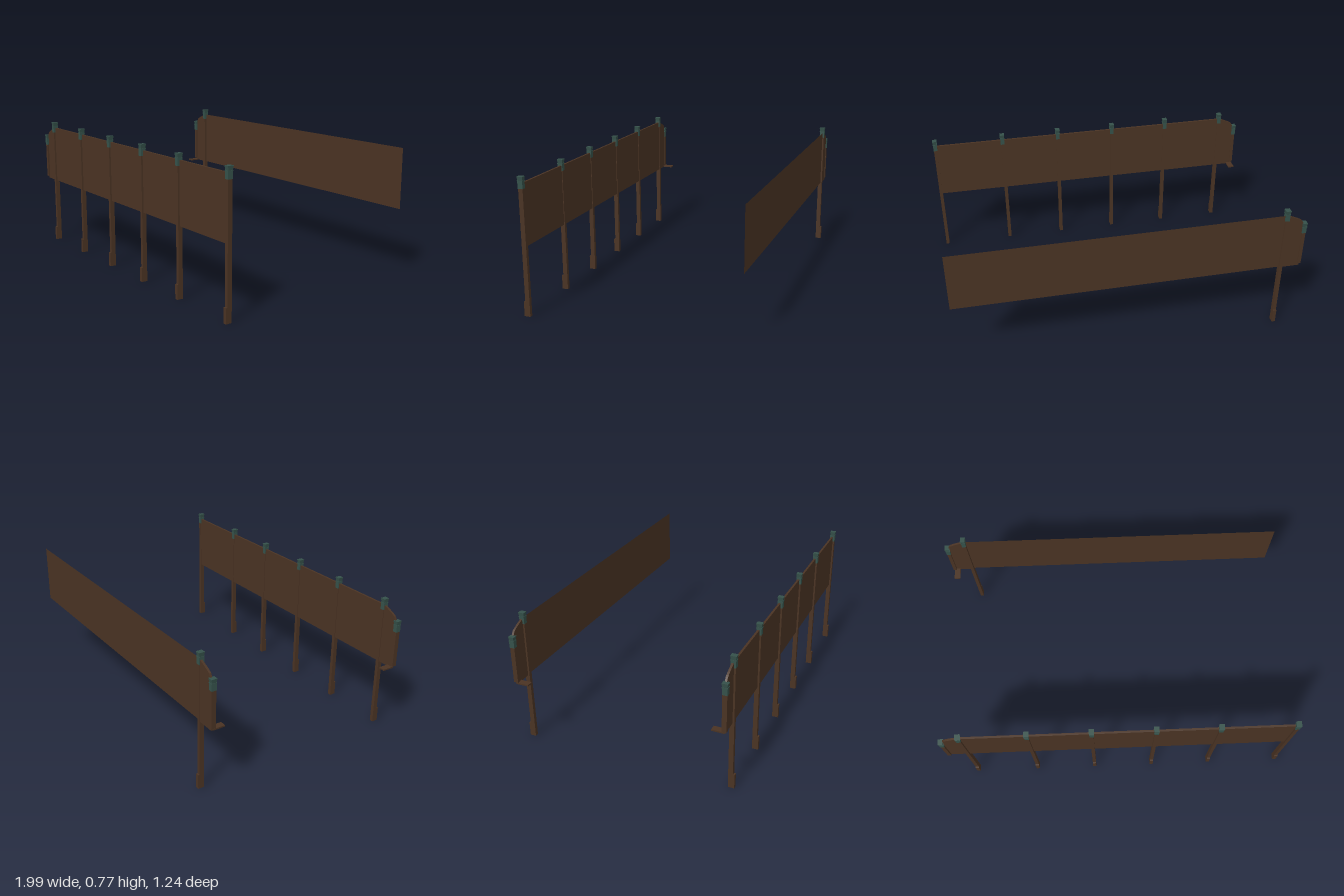
import * as THREE from 'three';

const wood = new THREE.MeshStandardMaterial({ color: 0x4a3323 });
wood.name = 'dark wood';
const sheet = new THREE.MeshStandardMaterial({ color: 0x4a3323, side: THREE.DoubleSide });
sheet.name = 'thin wood sheet';
const verdigris = new THREE.MeshStandardMaterial({ color: 0x35514a });
verdigris.name = 'green metal';

const BOTTOM = 0.395, TOP = 0.74, THICK = 0.012, Z = 0.597;

function add(parent, name, geometry, material, x = 0, y = 0, z = 0) {
  const mesh = new THREE.Mesh(geometry, material);
  mesh.name = name;
  mesh.position.set(x, y, z);
  parent.add(mesh);
  return mesh;
}

function box(parent, name, w, y0, y1, d, material, x = 0, z = 0) {
  return add(parent, name, new THREE.BoxGeometry(w, y1 - y0, d), material, x, (y0 + y1) / 2, z);
}

// Square cap: straight sleeve, thin collar and flared top
function addCap(post, y0, y1) {
  const h = y1 - y0;
  box(post, 'capSleeve', 0.024, y0, y1 - h * 0.38, 0.029, verdigris);
  box(post, 'capCollar', 0.027, y1 - h * 0.42, y1 - h * 0.34, 0.031, verdigris);
  const flare = new THREE.CylinderGeometry(0.0205, 0.0165, h * 0.34, 4);
  flare.rotateY(Math.PI / 4);
  flare.scale(1, 1, 1.14);
  const mesh = add(post, 'capFlare', flare.toNonIndexed(), verdigris, 0, y1 - h * 0.17, 0);
  mesh.geometry.computeVertexNormals();
}

// Full post with a foot block on its outer side
function addPost(parent, x, z) {
  const post = new THREE.Group();
  post.name = 'post';
  post.position.set(x, 0, z);
  parent.add(post);
  box(post, 'postShaft', 0.02, 0, 0.715, 0.026, wood);
  box(post, 'postFoot', 0.02, 0, 0.083, 0.012, wood, 0, Math.sign(z) * 0.016);
  addCap(post, 0.71, 0.775);
}

// Short end post hanging beside the panel, with a flat bracket reaching inward
function addEndPost(parent, z) {
  const post = new THREE.Group();
  post.name = 'endPost';
  post.position.set(-0.985, 0, z);
  parent.add(post);
  box(post, 'endPostShaft', 0.02, 0.408, 0.625, 0.026, wood);
  addCap(post, 0.617, 0.681);
  box(post, 'endBracket', 0.036, BOTTOM, BOTTOM + 0.008, 0.07, wood, 0.014, -Math.sign(z) * 0.035);
}

// Panel outline with a curved shoulder at the low end
function panelShape(xEnd) {
  const s = new THREE.Shape();
  s.moveTo(-0.985, BOTTOM);
  s.lineTo(xEnd, BOTTOM);
  s.lineTo(xEnd, TOP);
  s.lineTo(-0.88, TOP);
  s.quadraticCurveTo(-0.945, 0.715, -0.965, 0.7);
  s.lineTo(-0.985, 0.665);
  s.closePath();
  return s;
}

function solidPanel(parent, name, xEnd, z) {
  const g = new THREE.ExtrudeGeometry(panelShape(xEnd), { depth: THICK, bevelEnabled: false, curveSegments: 5 });
  g.translate(0, 0, -THICK / 2);
  add(parent, name, g, wood, 0, 0, z);
}

export function createModel() {
  const model = new THREE.Group();
  model.name = 'railings';

  // Front railing: solid panel on six posts
  const front = new THREE.Group();
  front.name = 'frontRailing';
  solidPanel(front, 'frontPanel', 0.98, Z - 0.003);
  for (const x of [-0.877, -0.505, -0.15, 0.205, 0.56, 0.98]) addPost(front, x, Z);
  addEndPost(front, Z);

  // Back railing: solid shoulder, then a thin sheet on a single post
  const back = new THREE.Group();
  back.name = 'backRailing';
  solidPanel(back, 'backShoulder', -0.877, -Z - 0.003);
  add(back, 'backPanel', new THREE.PlaneGeometry(1.857, TOP - BOTTOM), sheet,
    (0.98 - 0.877) / 2, (TOP + BOTTOM) / 2, -Z - 0.003);
  addPost(back, -0.877, -Z);
  addEndPost(back, -Z);

  model.add(front, back);
  return model;
}
